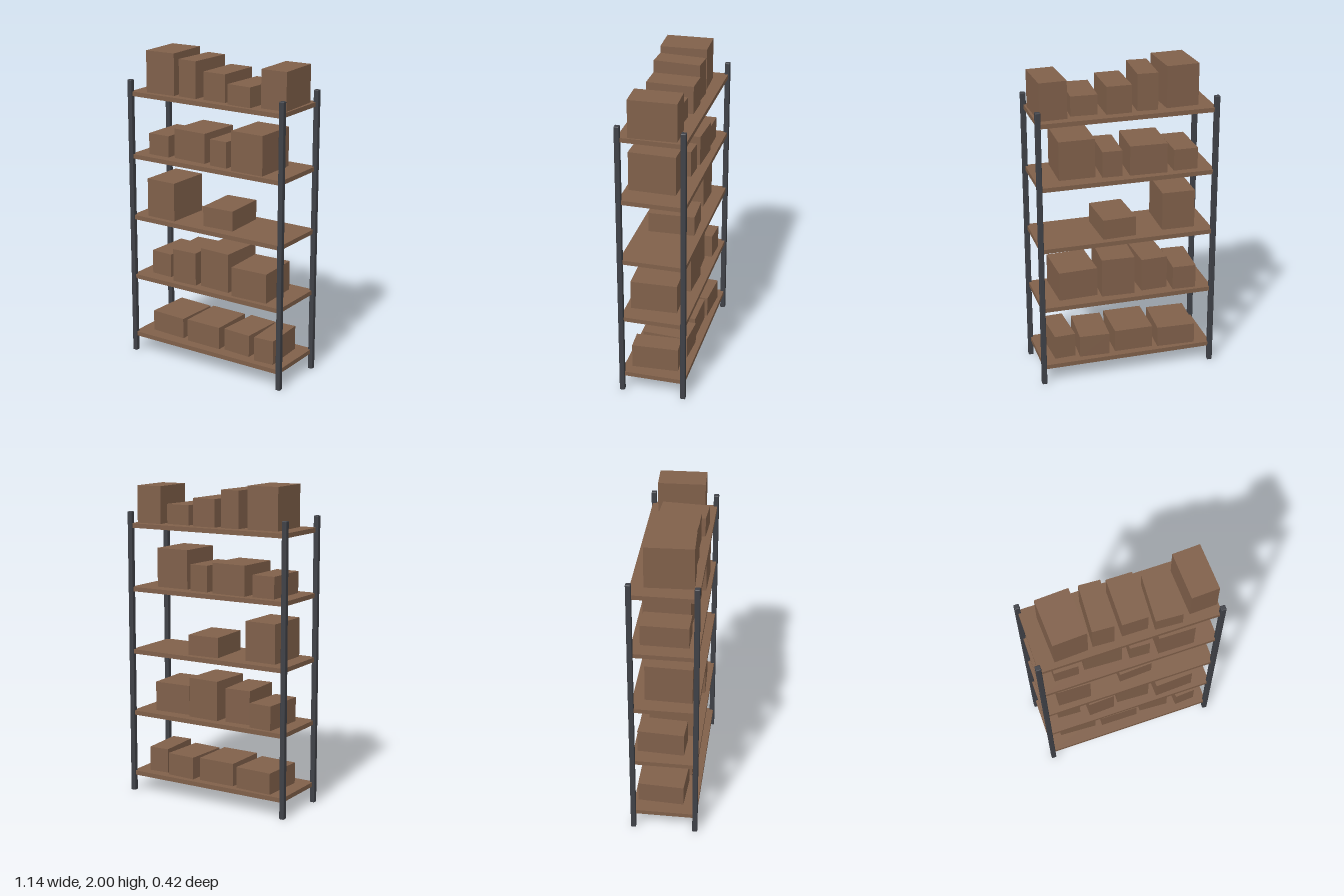
import * as THREE from 'three';
import { RoundedBoxGeometry } from 'three/addons/geometries/RoundedBoxGeometry.js';

const wood = new THREE.MeshStandardMaterial({ color: 0x80604a });
wood.name = 'brown board';
const metal = new THREE.MeshStandardMaterial({ color: 0x3f4147 });
metal.name = 'dark metal';

const SHELF_T = 0.028, SHELF_GAP = 0.4018, FIRST_TOP = 0.131, BOX_DEPTH = 0.291;

// Cartons on each shelf, bottom to top: [left x, right x, top y, centre z, turn]
const CARTONS = [
  [[-0.466, -0.206, 0.265, -0.027, -0.05], [-0.177, 0.074, 0.276, -0.008, -0.01],
    [0.1, 0.308, 0.273, -0.017, -0.055], [0.332, 0.481, 0.287, 0.01, 0.055]],
  [[-0.466, -0.302, 0.686, -0.028, -0.05], [-0.276, -0.095, 0.747, 0.016, 0.04],
    [-0.067, 0.157, 0.784, -0.002, -0.045], [0.178, 0.437, 0.721, 0.028, 0.04]],
  [[-0.459, -0.242, 1.181, 0.021, -0.025], [-0.061, 0.163, 1.062, -0.011, 0.045]],
  [[-0.459, -0.304, 1.472, -0.004, -0.01], [-0.27, -0.023, 1.525, -0.011, -0.045],
    [0.01, 0.147, 1.501, 0.006, -0.045], [0.182, 0.412, 1.583, 0.032, -0.015]],
  [[-0.462, -0.246, 2.0, 0.019, 0.042], [-0.216, -0.071, 1.969, 0.009, -0.055],
    [-0.038, 0.122, 1.911, 0.001, -0.012], [0.154, 0.335, 1.862, 0.028, -0.057],
    [0.362, 0.543, 1.972, -0.004, 0.038]],
];

function addMesh(parent, name, geometry, material, x, y, z) {
  const mesh = new THREE.Mesh(geometry, material);
  mesh.name = name;
  mesh.position.set(x, y, z);
  parent.add(mesh);
  return mesh;
}

export function createModel() {
  const model = new THREE.Group();
  model.name = 'storageShelf';

  // Four corner posts with softened edges
  const postGeo = new RoundedBoxGeometry(0.032, 1.812, 0.032, 2, 0.005);
  for (const sx of [-1, 1]) {
    for (const sz of [-1, 1]) {
      addMesh(model, `${sz > 0 ? 'front' : 'back'}${sx > 0 ? 'Left' : 'Right'}Post`,
        postGeo, metal, sx * 0.553, 0.906, sz * 0.196);
    }
  }

  // Boards, each with its row of slightly turned cartons
  const boardGeo = new THREE.BoxGeometry(1.106, SHELF_T, 0.406);
  CARTONS.forEach((row, i) => {
    const top = FIRST_TOP + i * SHELF_GAP;
    const level = new THREE.Group();
    level.name = `shelfLevel${i + 1}`;
    model.add(level);
    addMesh(level, 'board', boardGeo, wood, 0, top - SHELF_T / 2, 0);
    row.forEach(([x0, x1, y1, z, turn], j) => {
      // The turned carton fills the span x0..x1
      const width = (x1 - x0 - BOX_DEPTH * Math.sin(Math.abs(turn))) / Math.cos(turn);
      const geo = new THREE.BoxGeometry(width, y1 - top, BOX_DEPTH);
      const carton = addMesh(level, `carton${j + 1}`, geo, wood, (x0 + x1) / 2, (top + y1) / 2, z);
      carton.rotation.y = turn;
    });
  });

  return model;
}
